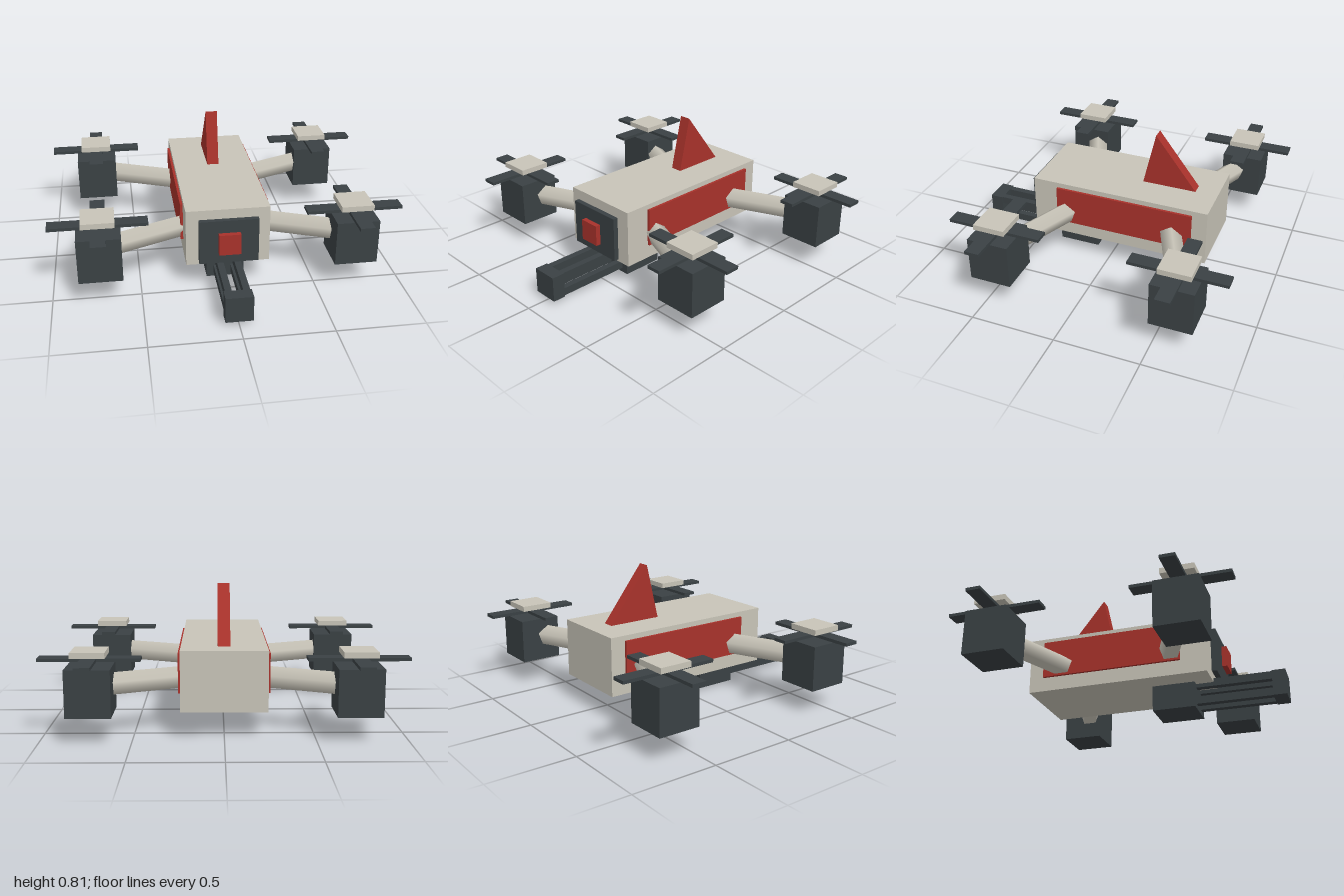
import * as THREE from 'three';

const material = (color) => new THREE.MeshStandardMaterial({ color });

export function createModel() {
  const model = new THREE.Group();
  model.name = 'quadcopter';
  const beige = material(0xc8c4b8);
  const dark = material(0x3a4144);
  const red = material(0xa8322b);

  const add = (parent, name, geometry, mat) => {
    const mesh = new THREE.Mesh(geometry, mat);
    mesh.name = name;
    parent.add(mesh);
    return mesh;
  };
  // Box given by its minimum and maximum on each axis
  const box = (parent, name, mat, [x0, x1], [y0, y1], [z0, z1]) => {
    const mesh = add(parent, name, new THREE.BoxGeometry(x1 - x0, y1 - y0, z1 - z0), mat);
    mesh.position.set((x0 + x1) / 2, (y0 + y1) / 2, (z0 + z1) / 2);
    return mesh;
  };

  // Fuselage with side panels, nose plate and nose light
  box(model, 'body', beige, [-0.24, 0.24], [0.15, 0.49], [-0.615, 0.467]);
  for (const s of [-1, 1]) {
    box(model, 'sidePanel', red, [s * 0.245 - 0.01, s * 0.245 + 0.01], [0.235, 0.46], [-0.525, 0.315]);
  }
  box(model, 'nosePlate', dark, [-0.17, 0.17], [0.175, 0.44], [0.48, 0.51]);
  box(model, 'noseLight', red, [-0.062, 0.062], [0.245, 0.37], [0.52, 0.55]);

  // Triangular fin, drawn in the side plane (shape x = -z)
  const finShape = new THREE.Shape();
  finShape.moveTo(0.155, 0.485);
  finShape.lineTo(0.485, 0.485);
  finShape.lineTo(0.23, 0.813);
  finShape.closePath();
  const fin = new THREE.ExtrudeGeometry(finShape, { depth: 0.07, bevelEnabled: false });
  fin.translate(0, 0, -0.035).rotateY(Math.PI / 2);
  add(model, 'fin', fin, red);

  // Four rotor units: five-sided arm, motor block, crossed blades, cap
  const armY = 0.299;
  for (const s of [-1, 1]) {
    for (const [rootZ, motorZ] of [[0.241, 0.458], [-0.386, -0.607]]) {
      const rotor = new THREE.Group();
      rotor.name = 'rotorUnit';
      model.add(rotor);

      const from = new THREE.Vector3(s * 0.2, armY, rootZ);
      const to = new THREE.Vector3(s * 0.7225, armY, motorZ);
      const armGeometry = new THREE.CylinderGeometry(0.064, 0.064, from.distanceTo(to), 5);
      armGeometry.rotateX(-Math.PI / 2);
      const arm = add(rotor, 'arm', armGeometry, beige);
      arm.position.copy(from).lerp(to, 0.5);
      arm.lookAt(to);

      const place = (name, mat, w, h, d, y) => {
        add(rotor, name, new THREE.BoxGeometry(w, h, d), mat).position.set(s * 0.7235, y, motorZ);
      };
      place('motor', dark, 0.246, 0.262, 0.246, 0.28);
      place('bladeAcross', dark, 0.553, 0.018, 0.084, 0.448);
      place('bladeAlong', dark, 0.084, 0.018, 0.553, 0.448);
      place('rotorCap', beige, 0.186, 0.032, 0.186, 0.481);
    }
  }

  // Belly launcher: mount, four rails and end block
  box(model, 'launcherMount', dark, [-0.11, 0.11], [0, 0.151], [0.112, 0.363]);
  for (const s of [-1, 1]) {
    for (const y of [0.05, 0.15]) {
      box(model, 'launcherRail', dark, [s * 0.05 - 0.019, s * 0.05 + 0.019], [y - 0.023, y + 0.023], [0.3, 0.81]);
    }
  }
  box(model, 'launcherEnd', dark, [-0.077, 0.077], [0.025, 0.175], [0.803, 0.88]);

  return model;
}
